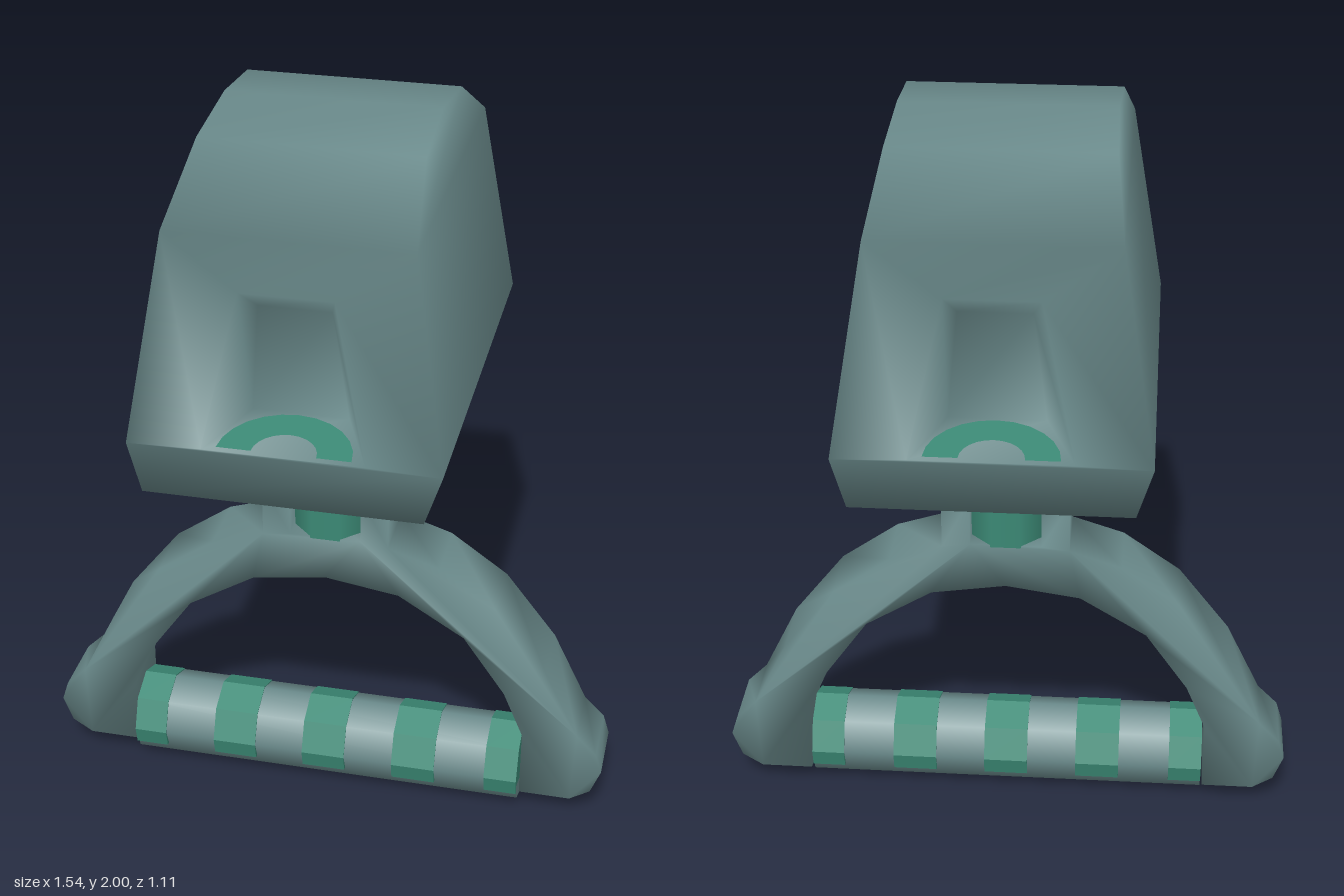
import * as THREE from 'three';
import { mergeVertices } from 'three/addons/utils/BufferGeometryUtils.js';

// Share corners so the shading runs smoothly across every edge
function smooth(geometry) {
  geometry.deleteAttribute('normal');
  geometry.deleteAttribute('uv');
  const merged = mergeVertices(geometry, 1e-4);
  merged.computeVertexNormals();
  return merged;
}

// Domed, tapered block with a recess in the front and back
function headGeometry() {
  const half = [[0.555, 1.18, 0.345], [0.54, 1.3, 0.385], [0.47, 1.83, 0.3], [0.235, 1.97, 0.275]];
  const profile = [...half, [0, 2, 0.27], ...half.map(([z, y, w]) => [-z, y, w]).reverse()];
  const pos = [], index = [];
  const add = (x, y, z) => pos.push(x, y, z) / 3 - 1;
  const quad = (a, b, c, d) => index.push(a, b, c, a, c, d);
  const R = profile.map(([z, y, w]) => add(w, y, z));
  const L = profile.map(([z, y, w]) => add(-w, y, z));

  // Top and bottom
  for (let i = 0; i < 9; i++) {
    const j = (i + 1) % 9;
    if (i !== 1 && i !== 6) quad(L[i], R[i], R[j], L[j]);
  }
  // Sides
  for (let i = 0; i < 3; i++) {
    quad(R[i], R[8 - i], R[7 - i], R[i + 1]);
    quad(L[8 - i], L[i], L[i + 1], L[7 - i]);
  }
  index.push(R[3], R[5], R[4], L[5], L[3], L[4]);

  // Recessed ends: corner loop, rim loop, inner loop, back wall
  const faceZ = y => 0.54 - 0.07 * (y - 1.3) / 0.53;
  const rim = [[-0.2, 1.305], [0.2, 1.305], [0.115, 1.7], [-0.115, 1.7]].map(([x, y]) => [x, y, faceZ(y)]);
  const inner = [[-0.12, 1.325, 0.35], [0.12, 1.325, 0.35], [0.09, 1.63, 0.4], [-0.09, 1.63, 0.4]];
  for (const s of [1, -1]) {
    const loops = [s > 0 ? [L[1], R[1], R[2], L[2]] : [R[7], L[7], L[6], R[6]]];
    for (const loop of [rim, inner]) loops.push(loop.map(([x, y, z]) => add(s * x, y, s * z)));
    for (let k = 0; k < 2; k++) {
      for (let i = 0; i < 4; i++) {
        const j = (i + 1) % 4;
        quad(loops[k][i], loops[k][j], loops[k + 1][j], loops[k + 1][i]);
      }
    }
    quad(...loops[2]);
  }
  const g = new THREE.BufferGeometry();
  g.setAttribute('position', new THREE.Float32BufferAttribute(pos, 3));
  g.setIndex(index);
  g.computeVertexNormals();
  return g;
}

// Arched yoke with two lugs on top and swollen ends, cut from one outline
function yokeGeometry() {
  const side = [
    [0.095, 0.81], [0.095, 0.945], [0.17, 0.945], [0.17, 0.8], [0.31, 0.755], [0.465, 0.645],
    [0.605, 0.465], [0.7, 0.27], [0.755, 0.215], [0.772, 0.16], [0.745, 0.09], [0.69, 0.055],
    [0.55, 0.055], [0.55, 0.25], [0.495, 0.38], [0.38, 0.545], [0.2, 0.655], [0, 0.685],
  ];
  const mirrored = side.slice(0, -1).map(([x, y]) => [-x, y]).reverse();
  const shape = new THREE.Shape([...side, ...mirrored].map(p => new THREE.Vector2(...p)));
  const g = new THREE.ExtrudeGeometry(shape, { depth: 0.185, bevelEnabled: false });
  return smooth(g.translate(0, 0, -0.0925));
}

// Thin band wrapped over the upper part of the eight-sided grip
function bandGeometry(width) {
  const r = 0.119, low = -0.05, points = [];
  const edge = r * 0.9;
  points.push(new THREE.Vector2(edge, low));
  for (let i = 0; i <= 4; i++) points.push(new THREE.Vector2(r * Math.cos(i * Math.PI / 4), r * Math.sin(i * Math.PI / 4)));
  points.push(new THREE.Vector2(-edge, low));
  const g = new THREE.ExtrudeGeometry(new THREE.Shape(points), { depth: width, bevelEnabled: false });
  return g.translate(0, 0, -width / 2).rotateY(Math.PI / 2);
}

export function createModel() {
  const model = new THREE.Group();
  const grey = new THREE.MeshStandardMaterial({ color: 0x6a8a8b });
  grey.name = 'greyTeal';
  const green = new THREE.MeshStandardMaterial({ color: 0x3c8a76 });
  green.name = 'green';
  const part = (name, geometry, material, x = 0, y = 0, z = 0) => {
    const mesh = new THREE.Mesh(geometry, material);
    mesh.name = name;
    mesh.position.set(x, y, z);
    model.add(mesh);
    return mesh;
  };

  part('head', headGeometry(), grey);
  part('yoke', yokeGeometry(), grey);

  // Curved green mark on each recess shelf
  for (const s of [1, -1]) {
    const arc = new THREE.RingGeometry(0.08, 0.165, 12, 1, 0, Math.PI).rotateX(-Math.PI / 2 + 0.105);
    part('recessMark', arc, green, 0, 1.311, s * 0.53).rotation.y = s > 0 ? 0 : Math.PI;
  }

  // Neck: green at the bottom, grey above
  const neck = (name, material, y0, y1) => {
    const g = new THREE.CylinderGeometry(0.102, 0.102, y1 - y0, 8).rotateY(Math.PI / 8);
    part(name, g, material, 0, (y0 + y1) / 2, 0);
  };
  neck('neckBase', green, 0.805, 1.05);
  neck('neck', grey, 1.05, 1.2);

  // Horizontal grip with five green bands
  const grip = new THREE.CylinderGeometry(0.116, 0.116, 1.09, 8).rotateZ(Math.PI / 2);
  part('grip', grip, grey, 0, 0.117, 0.014);
  for (const [x, width] of [[-0.5, 0.09], [-0.255, 0.12], [0, 0.12], [0.255, 0.12], [0.5, 0.09]]) {
    part('gripBand', bandGeometry(width), green, x, 0.117, 0.014);
  }
  return model;
}
